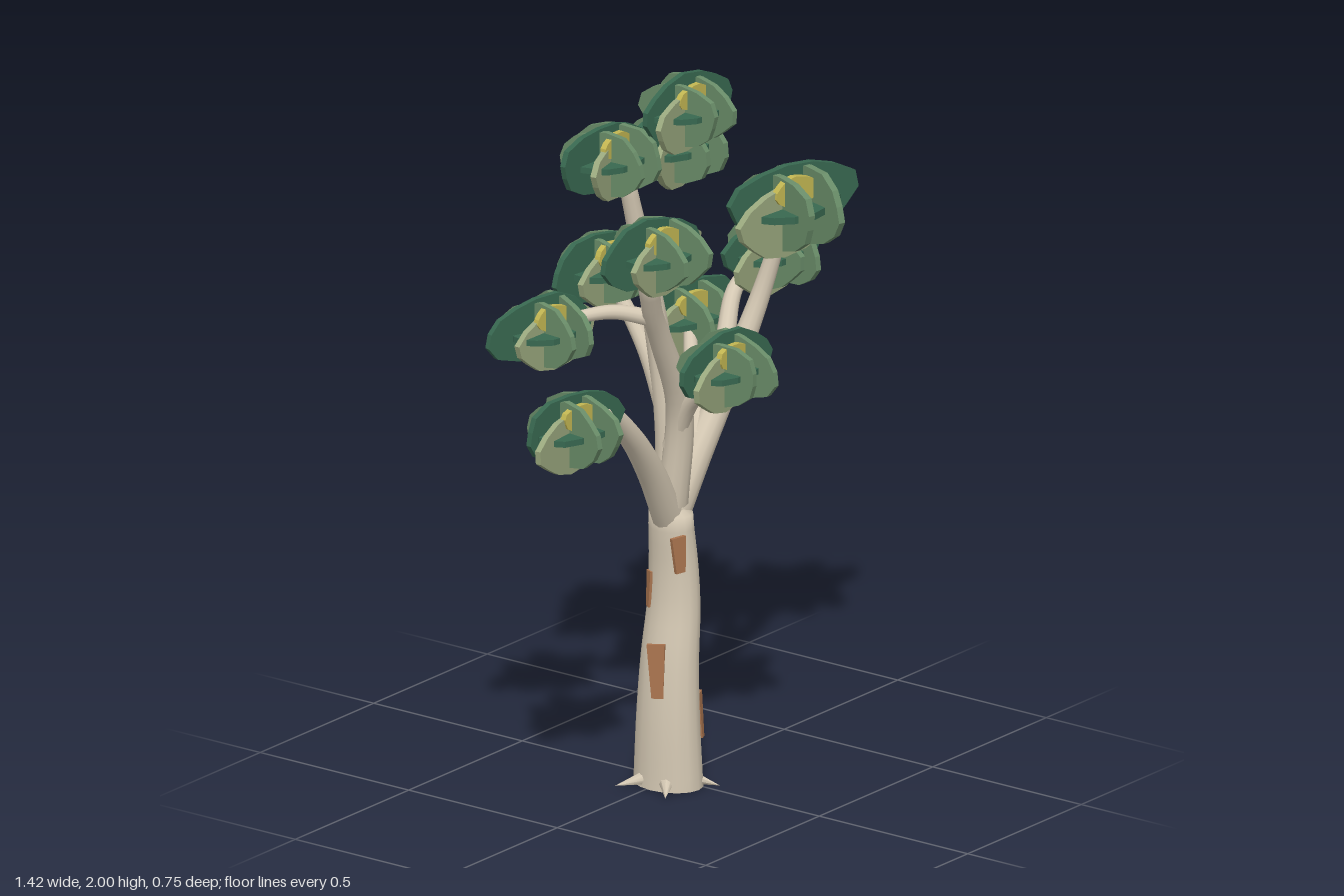
import * as THREE from 'three';

const V = (x, y, z) => new THREE.Vector3(x, y, z);
const paint = (color, flatShading = false) => new THREE.MeshStandardMaterial({ color, flatShading, side: THREE.DoubleSide });
const bark = paint(0xd4c8b3);
const peel = paint(0xa9744f, true);
const dark = paint(0x386850, true);
const mid = paint(0x6a8d69, true);
const light = paint(0x9aa87e, true);
const yellow = paint(0xc2b652, true);

function seeded(seed) {
  return () => {
    seed = (seed * 16807) % 2147483647;
    return seed / 2147483647;
  };
}

function add(parent, name, geometry, material) {
  const mesh = new THREE.Mesh(geometry, material);
  mesh.name = name;
  parent.add(mesh);
  return mesh;
}

// Tube along a curve, narrowing from r0 to r1, closed by a pinched last ring
function taperedTube(points, r0, r1, sides = 12, squash = 1) {
  const curve = new THREE.CatmullRomCurve3(points.map((p) => V(...p)));
  const steps = 20;
  const geometry = new THREE.TubeGeometry(curve, steps, 1, sides);
  const pos = geometry.attributes.position;
  const v = V(0, 0, 0);
  for (let i = 0; i < pos.count; i++) {
    const ring = Math.floor(i / (sides + 1));
    const centre = curve.getPointAt(ring / steps);
    const radius = ring === steps ? 0.001 : THREE.MathUtils.lerp(r0, r1, ring / steps);
    v.fromBufferAttribute(pos, i).sub(centre).multiplyScalar(radius);
    v.z *= squash;
    v.add(centre);
    pos.setXYZ(i, v.x, v.y, v.z);
  }
  geometry.computeVertexNormals();
  // share the normals across the tube's seam
  const n = geometry.attributes.normal;
  for (let r = 0; r <= steps; r++) {
    const a = r * (sides + 1), b = a + sides;
    v.fromBufferAttribute(n, a).add(V(n.getX(b), n.getY(b), n.getZ(b))).normalize();
    n.setXYZ(a, v.x, v.y, v.z);
    n.setXYZ(b, v.x, v.y, v.z);
  }
  return geometry;
}

// Thin wavy oval plate, centred, facing +z
function leafPlate(rx, ry, phase, depth = 0.017) {
  const points = [];
  for (let i = 0; i < 15; i++) {
    const a = (i / 15) * Math.PI * 2;
    const r = 1 + 0.05 * Math.sin(3 * a + phase) + 0.03 * Math.sin(5 * a + 2 * phase);
    points.push(new THREE.Vector2(Math.cos(a) * rx * r, Math.sin(a) * ry * r));
  }
  return new THREE.ExtrudeGeometry(new THREE.Shape(points), { depth, bevelEnabled: false }).translate(0, 0, -depth / 2);
}

// Crossed plates: one level, two facing front, two facing sideways, one small highlight
function leafCluster(x, y, z, size, side, turn, index) {
  const rnd = seeded(index * 7919 + 17);
  const jitter = (s) => (rnd() - 0.5) * 2 * s;
  const cluster = new THREE.Group();
  cluster.name = 'leafCluster';
  cluster.position.set(x, y, z);
  cluster.rotation.y = turn;
  cluster.scale.setScalar(size);
  const plate = (name, rx, ry, material, position, rotation) => {
    const mesh = add(cluster, name, leafPlate(rx, ry, rnd() * 6), material);
    mesh.position.set(...position);
    mesh.rotation.set(...rotation, 'YXZ');
  };
  plate('levelLeaf', 0.127, 0.092, dark, [0, 0.004, 0], [-Math.PI / 2, 0, 0]);
  plate('backLeaf', 0.178, 0.092, dark, [side * 0.018, 0.01, -0.012], [0, -0.15 + jitter(0.04), 0]);
  plate('frontLeaf', 0.164, 0.085, light, [-side * 0.02, -0.019, 0.014], [0, 0.09 + jitter(0.04), 0]);
  plate('highlightLeaf', 0.065, 0.035, yellow, [-0.01, 0.05, 0.028], [0, -0.08, 0]);
  plate('leftLeaf', 0.143, 0.092, mid, [0.05, 0, 0], [0, Math.PI / 2 - 0.14 + jitter(0.06), jitter(0.08)]);
  plate('rightLeaf', 0.134, 0.09, mid, [-0.035, 0, 0], [0, Math.PI / 2 - 0.08 + jitter(0.08), jitter(0.08)]);
  return cluster;
}

export function createModel() {
  const tree = new THREE.Group();
  tree.name = 'tree';

  // Trunk, slightly deeper than wide
  add(tree, 'trunk', taperedTube([
    [-0.03, 0.005, 0.015], [-0.031, 0.2, 0.015], [-0.022, 0.36, 0.014], [-0.004, 0.5, 0.013],
    [-0.003, 0.62, 0.012], [-0.014, 0.74, 0.012], [-0.016, 0.81, 0.012],
  ], 0.079, 0.049, 16, 1.3), bark);
  const base = add(tree, 'trunkBase', new THREE.CircleGeometry(0.079, 16).rotateX(Math.PI / 2), bark);
  base.scale.z = 1.3;
  base.position.set(-0.03, 0.006, 0.015);

  // Limbs: name, path, start radius, end radius
  const limbs = [
    ['rightLimb', [[-0.02, 0.75, 0.01], [-0.13, 0.92, 0.03], [-0.25, 1.06, 0.05], [-0.37, 1.16, 0.06], [-0.48, 1.17, 0.07]], 0.046, 0.022],
    ['leader', [[-0.015, 0.75, 0.01], [-0.005, 1.0, 0], [-0.015, 1.3, -0.04], [-0.07, 1.57, -0.06], [-0.12, 1.77, -0.07]], 0.046, 0.022],
    ['leftLimb', [[-0.01, 0.76, 0.01], [0.08, 0.9, 0.02], [0.21, 1.08, 0.03], [0.31, 1.29, 0.06], [0.35, 1.53, 0.12]], 0.05, 0.018],
    ['frontLimb', [[-0.02, 0.8, 0.02], [-0.04, 1.08, 0.06], [-0.16, 1.32, 0.085], [-0.21, 1.4, 0.1], [-0.28, 1.54, 0.14]], 0.044, 0.025],
    ['leftBranch', [[0.17, 1.04, 0.02], [0.28, 1.17, -0.03], [0.38, 1.28, -0.07], [0.5, 1.33, -0.06]], 0.032, 0.018],
    ['backLeftBranch', [[0.1, 0.95, 0.02], [0.2, 1.08, -0.08], [0.32, 1.16, -0.18]], 0.03, 0.017],
    ['backBranch', [[-0.005, 1.02, 0], [0, 1.2, -0.08], [0.01, 1.38, -0.21]], 0.032, 0.018],
    ['frontBranch', [[-0.03, 0.96, 0.03], [-0.05, 1.1, 0.1], [-0.08, 1.21, 0.23]], 0.03, 0.017],
    ['backRightBranch', [[-0.2, 1.385, 0.09], [-0.28, 1.41, 0.02], [-0.38, 1.4, -0.06]], 0.024, 0.016],
  ];
  for (const [name, path, r0, r1] of limbs) add(tree, name, taperedTube(path, r0, r1), bark);

  // Pointed root tips evenly around the base
  for (let i = 0; i < 5; i++) {
    const a = (i / 5) * Math.PI * 2;
    const root = add(tree, 'root', new THREE.ConeGeometry(0.026, 0.11, 8).rotateZ(-Math.PI / 2), bark);
    root.position.set(-0.03 + Math.cos(a) * 0.1, 0.022, 0.015 + Math.sin(a) * 0.09);
    root.rotation.set(0, -a, -0.18, 'YXZ');
  }

  // Peeling bark: position, width, height, turn about the trunk
  [
    [-0.058, 0.67, 0.072, 0.045, 0.1, -0.3],
    [-0.094, 0.34, 0.025, 0.05, 0.15, -1.1],
    [0.018, 0.2, 0.085, 0.03, 0.13, 0.4],
    [0.038, 0.53, 0.054, 0.03, 0.12, 0.7],
    [-0.048, 0.55, -0.034, 0.03, 0.1, -2.15],
  ].forEach(([x, y, z, w, h, turn]) => {
    const geometry = new THREE.BoxGeometry(w, h, 0.011);
    const pos = geometry.attributes.position;
    // narrow the lower end so each flake tapers
    for (let i = 0; i < pos.count; i++) if (pos.getY(i) < 0) pos.setX(i, pos.getX(i) * 0.65);
    const flake = add(tree, 'barkFlake', geometry, peel);
    flake.position.set(x, y, z);
    flake.rotation.set(-0.05, turn, 0.04, 'YXZ');
  });

  // Foliage: position, size, side the dark leaf leans to, turn
  [
    [0.015, 1.903, 0.043, 0.96, 1, 0.03],
    [-0.158, 1.785, -0.085, 0.99, -1, 0.12],
    [0.182, 1.72, -0.13, 1.05, -1, 0.12],
    [-0.252, 1.59, 0.15, 1.02, -1, -0.02],
    [0.362, 1.55, 0.125, 1.17, 1, -0.14],
    [-0.432, 1.375, -0.085, 0.98, -1, -0.08],
    [0.012, 1.4, -0.228, 1.0, -1, 0.03],
    [0.516, 1.343, -0.05, 1.0, 1, -0.02],
    [-0.075, 1.235, 0.243, 0.98, 1, 0.08],
    [-0.523, 1.15, 0.07, 1.0, 1, 0],
    [0.342, 1.175, -0.203, 0.98, 1, -0.03],
  ].forEach((spec, i) => tree.add(leafCluster(...spec, i + 1)));

  return tree;
}
